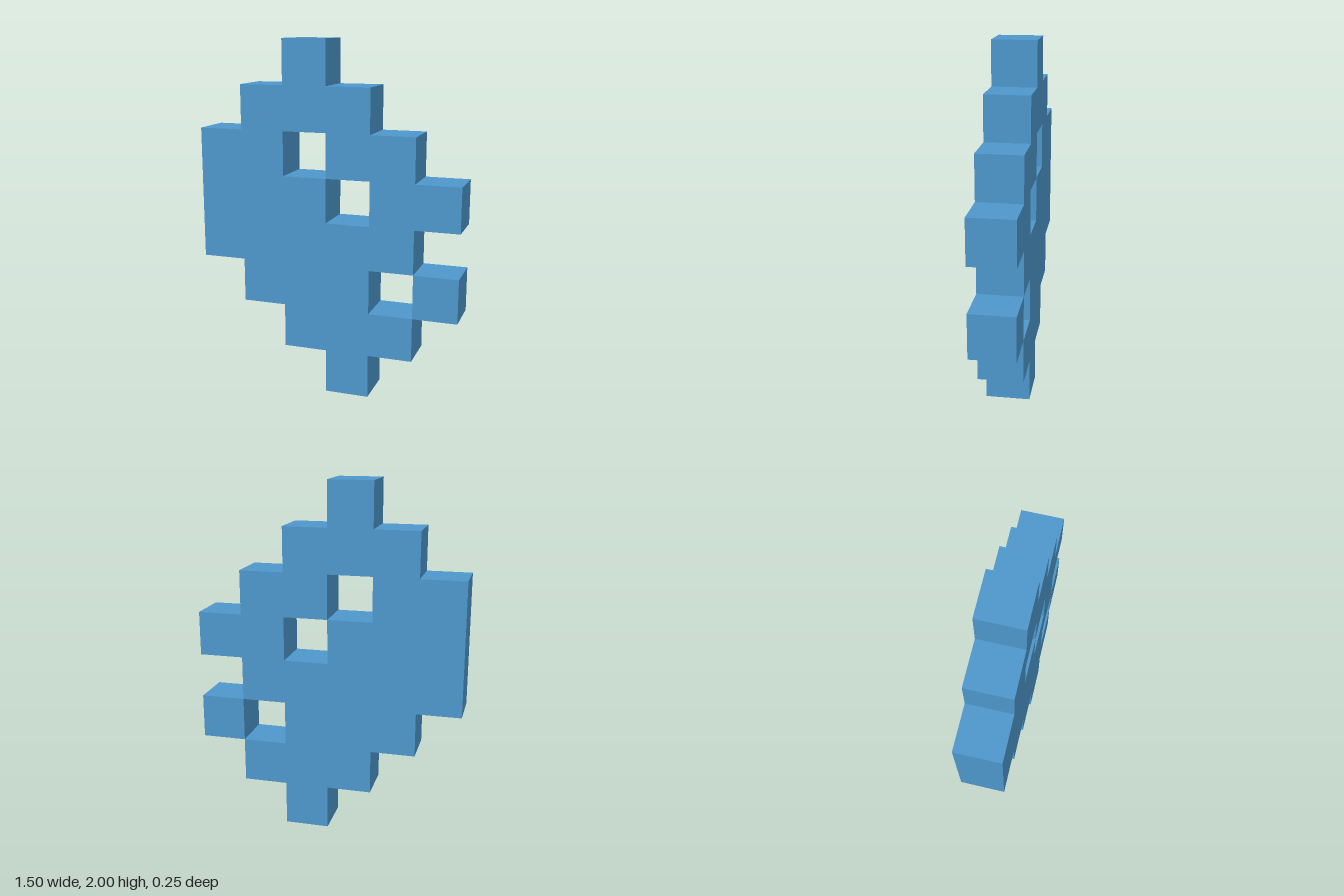
import * as THREE from 'three';
import { mergeGeometries } from 'three/addons/utils/BufferGeometryUtils.js';

const CELL = 0.25;

// Block pattern, top row first, left to right along +x
const PATTERN = [
  '..#...',
  '.###..',
  '##.##.',
  '###.##',
  '#####.',
  '.###.#',
  '..###.',
  '...#..',
];

const filled = (col, row) => PATTERN[row]?.[col] === '#';

// One square face of a block, turned outwards and pushed to the block's side
function face(x, y, rotX, rotY) {
  return new THREE.PlaneGeometry(CELL, CELL)
    .translate(0, 0, CELL / 2)
    .rotateX(rotX)
    .rotateY(rotY)
    .translate(x, y, 0);
}

export function createModel() {
  const group = new THREE.Group();
  group.name = 'pixelPanel';

  const blue = new THREE.MeshStandardMaterial({ color: 0x4d97cb });
  blue.name = 'blue';

  // Only the outer faces of the joined blocks are made
  const faces = [];
  const quarter = Math.PI / 2;
  PATTERN.forEach((line, row) => {
    for (let col = 0; col < line.length; col++) {
      if (!filled(col, row)) continue;
      const x = (col + 0.5 - line.length / 2) * CELL;
      const y = (PATTERN.length - row - 0.5) * CELL;
      faces.push(face(x, y, 0, 0), face(x, y, 0, Math.PI)); // front and back
      if (!filled(col + 1, row)) faces.push(face(x, y, 0, quarter));
      if (!filled(col - 1, row)) faces.push(face(x, y, 0, -quarter));
      if (!filled(col, row - 1)) faces.push(face(x, y, -quarter, 0));
      if (!filled(col, row + 1)) faces.push(face(x, y, quarter, 0));
    }
  });

  const panel = new THREE.Mesh(mergeGeometries(faces), blue);
  panel.name = 'blockPanel';
  group.add(panel);
  return group;
}
